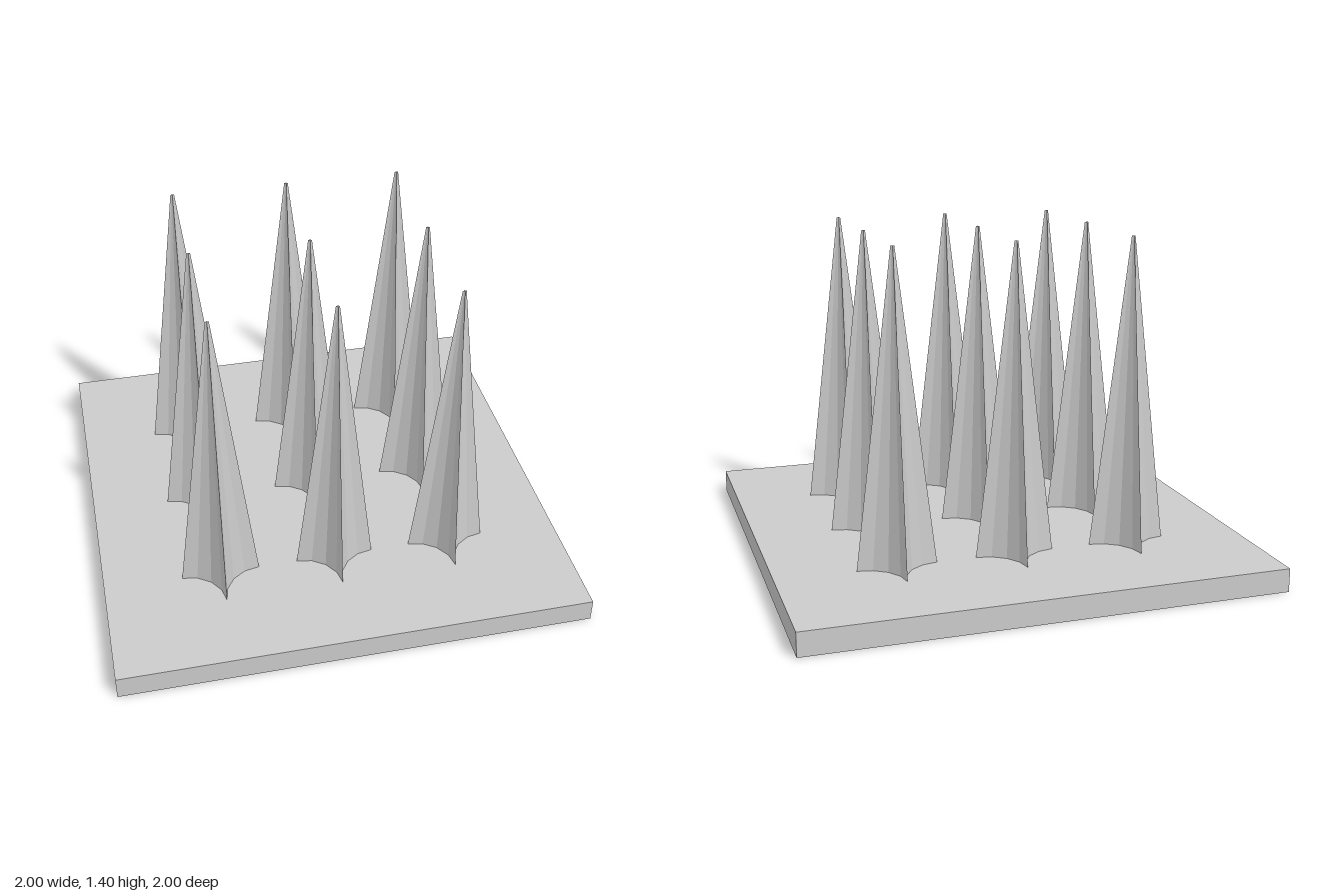
import * as THREE from 'three';

const BASE_HEIGHT = 0.1;
const SPIKE_HEIGHT = 1.3;
const SPIKE_RADIUS = 0.167;
const TIP_RADIUS = 0.008;
const SPACING = 0.5;

// Tapered column whose section is a four-pointed star with concave arc sides
function spikeGeometry() {
  const geometry = new THREE.CylinderGeometry(TIP_RADIUS, SPIKE_RADIUS, SPIKE_HEIGHT, 16);
  const p = geometry.attributes.position;
  for (let i = 0; i < p.count; i++) {
    const x = p.getX(i), z = p.getZ(i), r = Math.hypot(x, z);
    // Fold each quarter circle inward, keeping the points on the axes
    p.setX(i, Math.sign(x) * (r - Math.abs(z)));
    p.setZ(i, Math.sign(z) * (r - Math.abs(x)));
  }
  const flat = geometry.toNonIndexed();
  flat.computeVertexNormals();
  return flat.translate(0, BASE_HEIGHT + SPIKE_HEIGHT / 2, 0);
}

export function createModel() {
  const model = new THREE.Group();
  model.name = 'spikeBoard';
  const material = new THREE.MeshStandardMaterial({ color: 0xcccccc, flatShading: true });

  // Square base plate
  const base = new THREE.Mesh(new THREE.BoxGeometry(2, BASE_HEIGHT, 2), material);
  base.name = 'basePlate';
  base.position.y = BASE_HEIGHT / 2;
  model.add(base);

  // Three by three grid of spikes
  const geometry = spikeGeometry();
  for (let row = -1; row <= 1; row++) {
    for (let column = -1; column <= 1; column++) {
      const spike = new THREE.Mesh(geometry, material);
      spike.name = 'spike';
      spike.position.set(column * SPACING, 0, row * SPACING);
      model.add(spike);
    }
  }
  return model;
}
